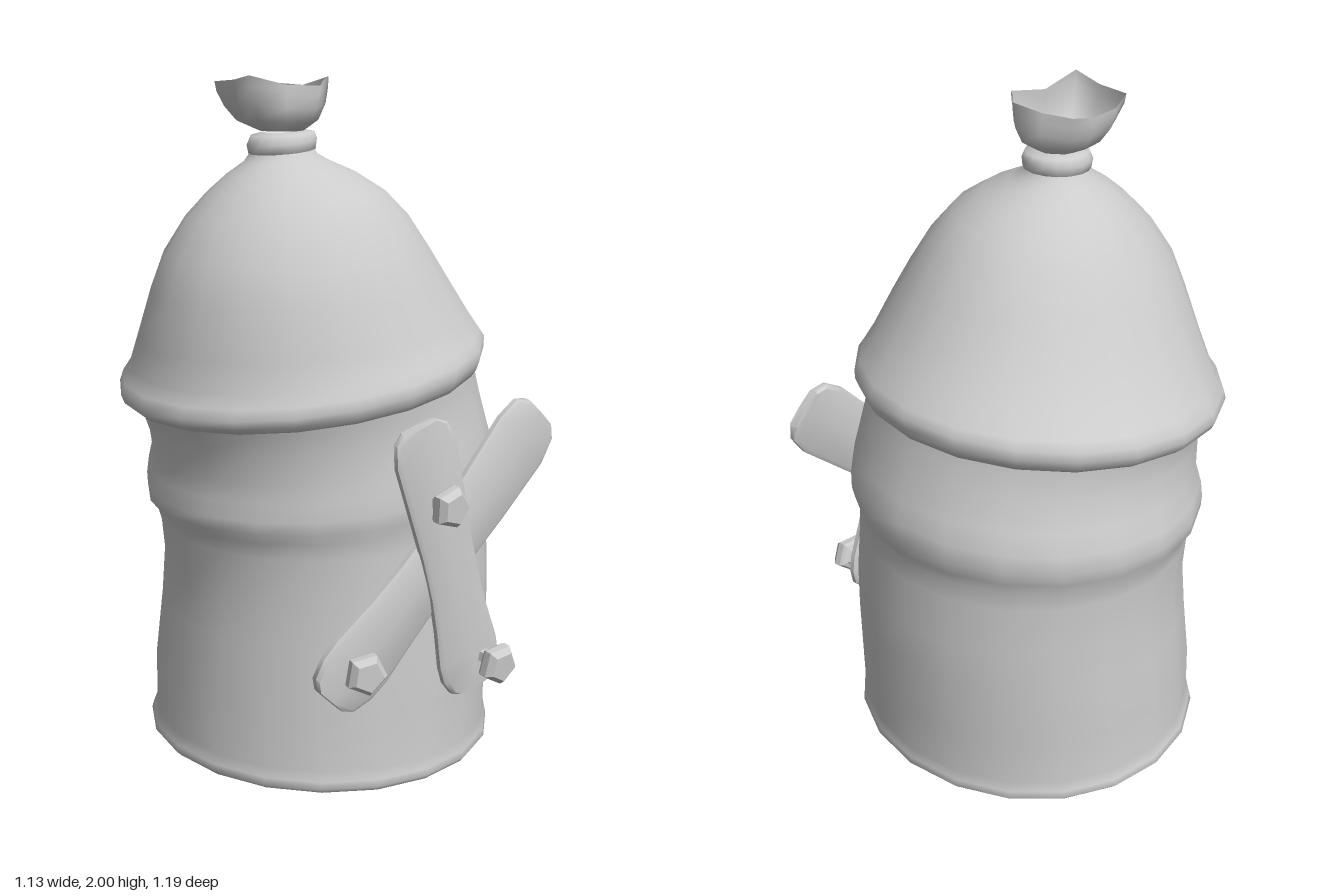
import * as THREE from 'three';
import { toCreasedNormals } from 'three/addons/utils/BufferGeometryUtils.js';

const material = new THREE.MeshStandardMaterial({ color: 0xcccccc });
const thinMaterial = new THREE.MeshStandardMaterial({ color: 0xcccccc, side: THREE.DoubleSide });

// Skin a list of closed rings (each an array of [x, y, z]), bottom to top.
function loft(rings) {
  const n = rings[0].length;
  const index = [];
  for (let i = 0; i < rings.length - 1; i++) {
    for (let j = 0; j < n; j++) {
      const a = i * n + j, b = i * n + (j + 1) % n;
      index.push(a, a + n, b, b, a + n, b + n);
    }
  }
  const g = new THREE.BufferGeometry();
  g.setAttribute('position', new THREE.Float32BufferAttribute(rings.flat(2), 3));
  g.setIndex(index);
  g.computeVertexNormals();
  return g;
}

// Tilted oval ring from its extents: height, x range, z range, slope along x.
function oval([y, x0, x1, z0, z1, slope = 0], n = 20) {
  return Array.from({ length: n }, (_, j) => {
    const a = (j / n) * Math.PI * 2;
    const dx = Math.cos(a) * (x1 - x0) / 2;
    return [(x0 + x1) / 2 + dx, y + slope * dx, (z0 + z1) / 2 + Math.sin(a) * (z1 - z0) / 2];
  });
}

function add(parent, name, geometry, mat = material) {
  const mesh = new THREE.Mesh(geometry, mat);
  mesh.name = name;
  parent.add(mesh);
  return mesh;
}

// Bowed board with rounded ends, running along y and facing +z.
function plankGeometry(length, halfWidth, thickness, bow) {
  const profile = [[-1, 0], [-1, 0.5], [-0.96, 0.78], [-0.85, 0.97], [-0.72, 1], [-0.45, 0.88], [-0.2, 0.82],
    [0.1, 0.83], [0.4, 0.9], [0.8, 0.98], [0.95, 0.84], [1, 0.55], [1, 0]];
  const section = [[1, -0.5], [1, 0.5], [0.88, 1], [0, 1.2], [-0.88, 1], [-1, 0.5],
    [-1, -0.5], [-0.88, -1], [0, -1.2], [0.88, -1]];
  const rings = profile.map(([t, w], i) => {
    const end = i === 0 || i === profile.length - 1;
    return section.map(([x, z]) => [
      x * w * halfWidth, t * length / 2, (end ? z * 0.5 : z) * thickness / 2 - bow * t * t]);
  });
  return toCreasedNormals(loft(rings), 0.8);
}

// Nail with a flared shank and a chamfered five-sided head, pointing out along +z.
function makeNail(name, position, yaw, pitch, spin) {
  const nail = new THREE.Group();
  nail.name = name;
  const profile = [[0, -0.05], [0.027, -0.05], [0.022, 0.02], [0.038, 0.04], [0.055, 0.045],
    [0.062, 0.055], [0.062, 0.077], [0.045, 0.096], [0, 0.096]].map(([r, y]) => new THREE.Vector2(r, y));
  const g = toCreasedNormals(new THREE.LatheGeometry(profile, 5), 0.3);
  g.rotateX(Math.PI / 2);
  g.rotateZ(spin);
  add(nail, 'nailBody', g);
  nail.position.set(...position);
  nail.rotation.set(pitch, yaw, 0);
  return nail;
}

export function createModel() {
  const model = new THREE.Group();
  model.name = 'boardedSack';

  // Barrel-like lower body with a bulging band
  add(model, 'body', loft([
    [0.005, -0.47, 0.54, -0.585, 0.49],
    [0.02, -0.485, 0.553, -0.598, 0.502],
    [0.04, -0.48, 0.548, -0.592, 0.498],
    [0.07, -0.47, 0.542, -0.58, 0.49],
    [0.22, -0.468, 0.546, -0.576, 0.486],
    [0.42, -0.445, 0.55, -0.562, 0.477],
    [0.56, -0.437, 0.55, -0.55, 0.468],
    [0.70, -0.447, 0.54, -0.553, 0.458, 0.03],
    [0.755, -0.46, 0.538, -0.56, 0.458, 0.05],
    [0.79, -0.482, 0.552, -0.58, 0.467, 0.06],
    [0.83, -0.484, 0.564, -0.584, 0.47, 0.07],
    [0.885, -0.477, 0.564, -0.58, 0.466, 0.08],
    [0.94, -0.473, 0.543, -0.553, 0.456, 0.09],
    [1.03, -0.488, 0.515, -0.537, 0.444, 0.1],
    [1.09, -0.508, 0.495, -0.54, 0.447, 0.11],
    [1.13, -0.525, 0.485, -0.55, 0.45, 0.12],
  ].map(r => oval(r))));

  // Flat underside
  const base = new THREE.CircleGeometry(1, 20);
  base.rotateX(Math.PI / 2).scale(0.505, 1, 0.5375).translate(0.035, 0.005, -0.0475);
  add(model, 'base', base);

  // Domed cloth hood with a rolled, slanted hem
  add(model, 'hood', loft([
    [1.115, -0.50, 0.47, -0.53, 0.435, 0.12],
    [1.112, -0.538, 0.497, -0.56, 0.46, 0.12],
    [1.13, -0.56, 0.512, -0.58, 0.475, 0.12],
    [1.155, -0.57, 0.522, -0.59, 0.483, 0.12],
    [1.185, -0.557, 0.522, -0.588, 0.48, 0.12],
    [1.215, -0.533, 0.507, -0.567, 0.46, 0.11],
    [1.28, -0.523, 0.472, -0.51, 0.43, 0.07],
    [1.40, -0.495, 0.4, -0.435, 0.388, 0.02],
    [1.50, -0.457, 0.34, -0.385, 0.342],
    [1.60, -0.395, 0.27, -0.32, 0.285],
    [1.67, -0.325, 0.2, -0.265, 0.225],
    [1.72, -0.265, 0.122, -0.205, 0.15],
    [1.755, -0.212, 0.045, -0.15, 0.075],
    [1.775, -0.197, 0.008, -0.13, 0.05],
    [1.80, -0.185, -0.005, -0.115, 0.035],
  ].map(r => oval(r))));

  // Tied collar round the neck
  add(model, 'neckTie', loft([
    [1.78, -0.18, -0.01, -0.115, 0.035, 0.08],
    [1.785, -0.198, 0.003, -0.13, 0.05, 0.08],
    [1.81, -0.203, 0.007, -0.134, 0.052, 0.08],
    [1.833, -0.192, 0, -0.125, 0.043, 0.06],
    [1.84, -0.15, -0.04, -0.09, 0.005, 0.04],
  ].map(r => oval(r, 16))));

  // Open, gathered mouth: a round throat blending into a star-like edge
  const lip = [[0.032, 0.005, 1.99], [-0.02, 0.055, 1.985], [-0.07, 0.108, 1.97], [-0.14, 0.045, 1.972],
    [-0.258, 0.037, 2], [-0.245, -0.06, 1.985], [-0.253, -0.15, 1.978], [-0.17, -0.185, 1.968],
    [-0.08, -0.185, 1.965], [-0.03, -0.155, 1.968], [-0.012, -0.06, 1.965]];
  const cx = -0.1, cz = -0.04;
  const mix = THREE.MathUtils.lerp;
  const throat = [[0, 0, 0], [0, 0.065, 0], [0.2, 0.095, 0.35], [0.5, 0.115, 0.65], [0.8, 0.125, 0.92], [1, 0.13, 1]];
  add(model, 'mouth', loft(throat.map(([h, r, blend]) => lip.map(([x, z, y]) => {
    const a = Math.atan2(z - cz, x - cx);
    return [mix(cx + r * Math.cos(a), x, blend), mix(1.842, y, h), mix(cz + r * Math.sin(a), z, blend)];
  }))), thinMaterial);

  // Crossed boards nailed to the front
  const rear = add(model, 'rearPlank', plankGeometry(1.03, 0.115, 0.034, 0.025));
  rear.position.set(0.09, 0.675, 0.473);
  rear.rotation.set(0, -0.04, -0.785, 'YXZ');
  const front = add(model, 'frontPlank', plankGeometry(0.845, 0.108, 0.032, 0.008));
  front.position.set(0.105, 0.66, 0.491);
  front.rotation.z = 0.262;

  // Nails
  model.add(
    makeNail('upperNail', [0.045, 0.85, 0.493], 0.05, 0.04, 0.3),
    makeNail('lowerLeftNail', [0.235, 0.345, 0.497], 0.02, 0.08, 0.1),
    makeNail('lowerRightNail', [-0.2, 0.41, 0.465], -0.25, 0, 0.15),
  );
  return model;
}
